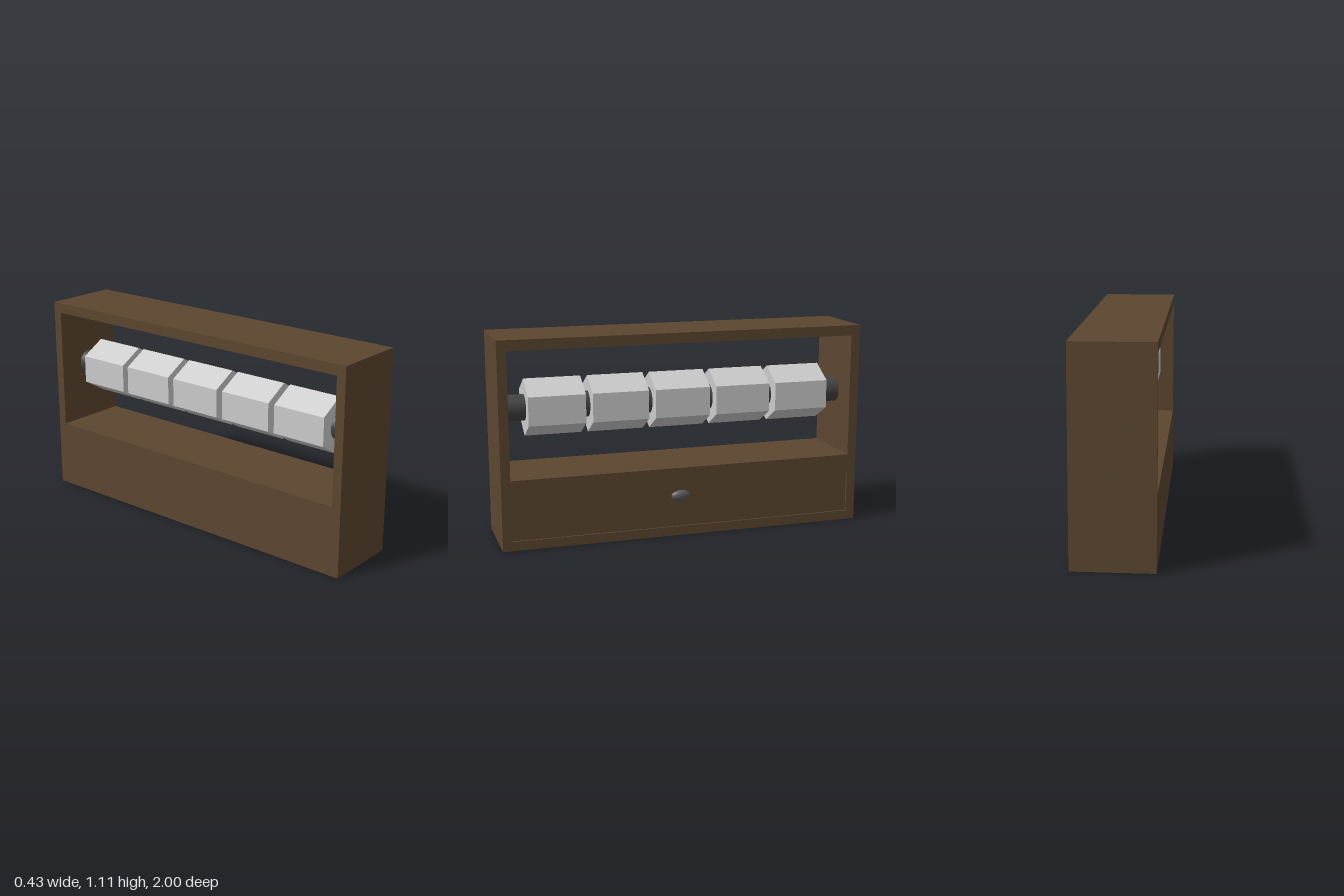
import * as THREE from 'three';

const wood = new THREE.MeshStandardMaterial({ color: 0x5c4630, flatShading: true });
const wheelGrey = new THREE.MeshStandardMaterial({ color: 0xcccccc, flatShading: true });
const darkMetal = new THREE.MeshStandardMaterial({ color: 0x444444 });
const knobMetal = new THREE.MeshStandardMaterial({ color: 0x5a5a5a });

const BACK = -0.217, FRONT = 0.203, HEIGHT = 1.107, INNER = 0.95;
const WINDOW = [0.377, 1.051], BAY = [0.05, 0.276];
const AXIS_X = -0.007, AXIS_Y = 0.717;

function rectangle(ShapeType, halfWidth, y0, y1) {
  const s = new ShapeType();
  s.moveTo(-halfWidth, y0);
  s.lineTo(halfWidth, y0);
  s.lineTo(halfWidth, y1);
  s.lineTo(-halfWidth, y1);
  s.closePath();
  return s;
}

// Upright slab between two x positions, pierced by rectangular openings
function slab(name, x0, x1, openings) {
  const shape = rectangle(THREE.Shape, 1, 0, HEIGHT);
  for (const [y0, y1] of openings) shape.holes.push(rectangle(THREE.Path, INNER, y0, y1));
  const geo = new THREE.ExtrudeGeometry(shape, { depth: x1 - x0, bevelEnabled: false });
  geo.rotateY(Math.PI / 2);
  geo.translate(x0, 0, 0);
  return add(name, geo, wood);
}

function add(name, geo, material, x = 0, y = 0, z = 0) {
  const mesh = new THREE.Mesh(geo, material);
  mesh.name = name;
  mesh.position.set(x, y, z);
  return mesh;
}

export function createModel() {
  const model = new THREE.Group();
  model.name = 'wheelCabinet';

  // Case: frame with a see-through window and a drawer bay closed at the back
  model.add(slab('caseFrame', BACK + 0.02, FRONT, [WINDOW, BAY]));
  model.add(slab('caseBack', BACK, BACK + 0.02, [WINDOW]));

  // Drawer, set slightly back into its bay, with an oval knob
  const drawer = new THREE.Group();
  drawer.name = 'drawer';
  const drawerFace = FRONT - 0.01, depth = drawerFace - BACK - 0.03;
  drawer.add(add('drawerBox',
    new THREE.BoxGeometry(depth, BAY[1] - BAY[0], 2 * INNER), wood,
    drawerFace - depth / 2, (BAY[0] + BAY[1]) / 2, 0));
  const knob = add('drawerKnob', new THREE.SphereGeometry(1, 32, 20), knobMetal, drawerFace, 0.22, 0.03);
  knob.scale.set(0.024, 0.03, 0.053);
  drawer.add(knob);
  model.add(drawer);

  // Axle between the side walls
  const axleGeo = new THREE.CylinderGeometry(0.07, 0.07, 2 * INNER + 0.02, 40).rotateX(Math.PI / 2);
  model.add(add('axle', axleGeo, darkMetal, AXIS_X, AXIS_Y, 0));

  // Five six-sided wheels, one edge pointing up
  const wheelGeo = new THREE.CylinderGeometry(0.154, 0.154, 0.306, 6).rotateX(Math.PI / 2);
  for (let i = 0; i < 5; i++) {
    model.add(add(`wheel${i + 1}`, wheelGeo, wheelGrey, AXIS_X, AXIS_Y, 0.681 - i * 0.343));
  }
  return model;
}
